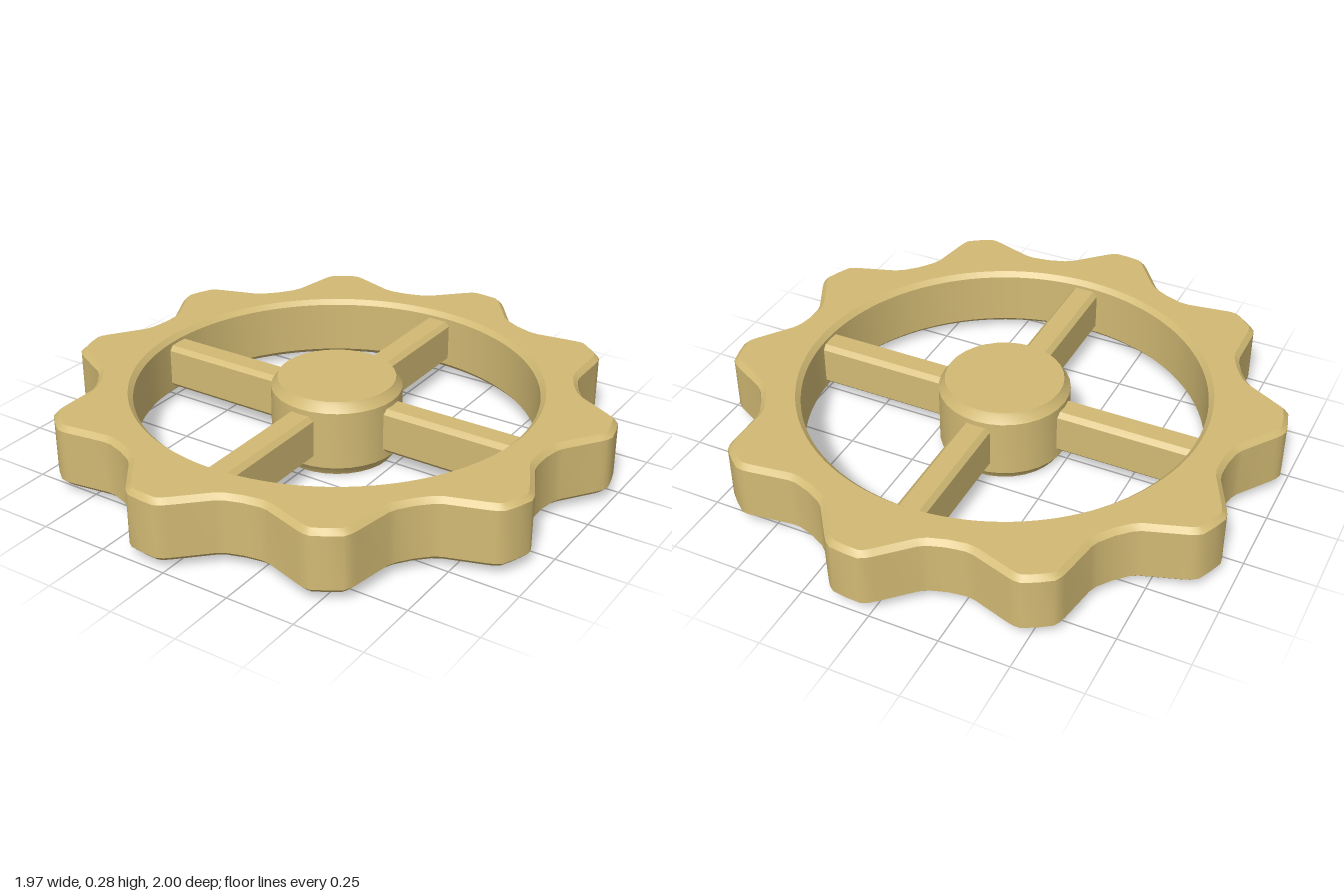
import * as THREE from 'three';
import { toCreasedNormals } from 'three/addons/utils/BufferGeometryUtils.js';

const RAD = Math.PI / 180;
const TEETH = 10;

// Outline of one scallop: [degrees from the tooth centre, radius]
const TOOTH = [
  [-18, 0.862], [-14, 0.869], [-12.2, 0.881], [-5.4, 0.974], [-4.3, 0.99], [-3, 1.002],
  [0, 1.003], [3, 1.002], [4.3, 0.99], [5.4, 0.974], [12.2, 0.881], [14, 0.869],
];

// Scalloped ring with a round opening and chamfered edges
function rimGeometry() {
  const outline = [];
  for (let i = 0; i < TEETH; i++) {
    for (const [deg, r] of TOOTH) {
      const a = (13.5 + i * 360 / TEETH + deg) * RAD;
      outline.push(new THREE.Vector2(Math.cos(a) * r, Math.sin(a) * r));
    }
  }
  const shape = new THREE.Shape(outline);
  const hole = new THREE.Path();
  hole.absarc(0, 0, 0.725, 0, Math.PI * 2, true);
  shape.holes.push(hole);
  const bevel = 0.018;
  const geometry = new THREE.ExtrudeGeometry(shape, {
    depth: 0.23 - 2 * bevel, curveSegments: 64,
    bevelThickness: bevel, bevelSize: bevel, bevelOffset: -bevel, bevelSegments: 1,
  });
  geometry.rotateX(-Math.PI / 2);
  geometry.translate(0, 0.03 + bevel, 0);
  return toCreasedNormals(geometry, 0.6);
}

// Round hub with chamfered ends
function hubGeometry() {
  const profile = [
    [0, 0], [0.213, 0], [0.219, 0.012], [0.236, 0.035],
    [0.236, 0.25], [0.219, 0.273], [0.213, 0.285], [0, 0.285],
  ].map(([r, y]) => new THREE.Vector2(r, y));
  return toCreasedNormals(new THREE.LatheGeometry(profile, 32), 0.5);
}

// Bar with chamfered long edges, running outwards along +z
function spokeGeometry() {
  const w = 0.053, lo = 0.06, hi = 0.23, c = 0.017;
  const shape = new THREE.Shape([
    [-w + c, lo], [w - c, lo], [w, lo + c], [w, hi - c],
    [w - c, hi], [-w + c, hi], [-w, hi - c], [-w, lo + c],
  ].map(([x, y]) => new THREE.Vector2(x, y)));
  const geometry = new THREE.ExtrudeGeometry(shape, { depth: 0.52, bevelEnabled: false });
  geometry.translate(0, 0, 0.215);
  return geometry;
}

export function createModel() {
  const brass = new THREE.MeshStandardMaterial({ color: 0xd2ba74 });
  brass.name = 'brass';

  const model = new THREE.Group();
  model.name = 'handwheel';
  const add = (name, geometry) => {
    const mesh = new THREE.Mesh(geometry, brass);
    mesh.name = name;
    model.add(mesh);
    return mesh;
  };

  add('scallopedRim', rimGeometry());
  add('hub', hubGeometry());

  // Four spokes at right angles
  const spoke = spokeGeometry();
  for (let i = 0; i < 4; i++) add('spoke' + (i + 1), spoke).rotation.y = i * Math.PI / 2;

  return model;
}
